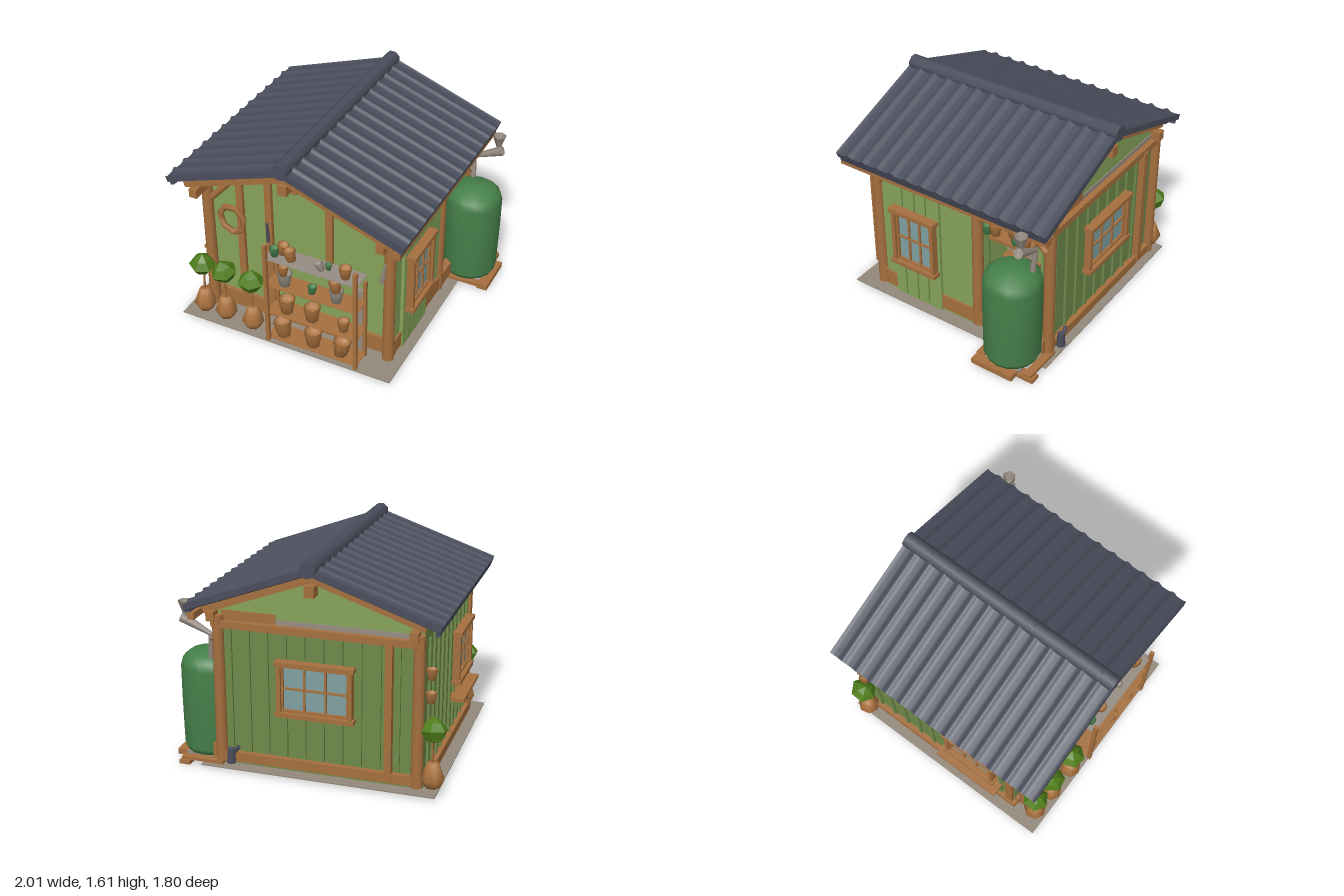
import * as THREE from 'three';

const mat = (name, color, opts = {}) => {
  const m = new THREE.MeshStandardMaterial({ color, ...opts });
  m.name = name;
  return m;
};

export function createModel() {
  const M = {
    wall: mat('wall green', 0x86a35a),
    panel: mat('board green', 0x6e894a),
    wood: mat('timber', 0xa56f3e),
    clay: mat('terracotta', 0xac7440),
    roof: mat('slate blue', 0x4a4e5c),
    tank: mat('tank green', 0x457f49),
    leaf: mat('leaf green', 0x4f7d1a, { flatShading: true }),
    grey: mat('weathered grey', 0x968c82, { side: THREE.DoubleSide }),
    ground: mat('ground', 0x93887a),
    glass: mat('window glass', 0x7fa0a0),
  };
  const root = new THREE.Group();
  root.name = 'gardenShed';

  const add = (name, geo, m, x = 0, y = 0, z = 0, parent = root) => {
    const mesh = new THREE.Mesh(geo, m);
    mesh.name = name;
    mesh.position.set(x, y, z);
    parent.add(mesh);
    return mesh;
  };
  // box from its limits
  const box = (name, m, x0, x1, y0, y1, z0, z1) =>
    add(name, new THREE.BoxGeometry(x1 - x0, y1 - y0, z1 - z0), m, (x0 + x1) / 2, (y0 + y1) / 2, (z0 + z1) / 2);
  // round pole between two points
  const pole = (name, m, a, b, r, r2 = r, sides = 10) => {
    const A = new THREE.Vector3(...a), B = new THREE.Vector3(...b), d = B.clone().sub(A);
    const p = add(name, new THREE.CylinderGeometry(r2, r, d.length(), sides), m);
    p.position.copy(A).add(B).multiplyScalar(0.5);
    p.quaternion.setFromUnitVectors(new THREE.Vector3(0, 1, 0), d.normalize());
    return p;
  };
  const RX = -0.07; // ridge position
  const roofY = (x) => 1.56 - (x < RX ? 0.34 : 0.37) * Math.abs(x - RX);

  // ground sheet
  box('groundSlab', M.ground, -0.96, 0.76, 0.012, 0.02, -0.87, 0.87);

  // gable walls
  const gable = (name, m, z0, depth, low, x0, x1) => {
    const s = new THREE.Shape();
    s.moveTo(x0, low);
    s.lineTo(x1, low);
    s.lineTo(x1, roofY(x1) - 0.08);
    s.lineTo(RX, 1.48);
    s.lineTo(x0, roofY(x0) - 0.08);
    add(name, new THREE.ExtrudeGeometry(s, { depth, bevelEnabled: false }), m, 0, 0, z0);
  };
  gable('frontWall', M.wall, 0.58, 0.04, 0.03, -0.83, 0.67);
  gable('backGable', M.wall, -0.78, 0.03, 1.08, -0.83, 0.64);
  box('backWall', M.panel, -0.83, 0.64, 0.03, 1.1, -0.79, -0.75);
  box('leftWall', M.panel, -0.85, -0.81, 0.03, 1.2, -0.78, 0.62);
  box('rightWall', M.wall, 0.63, 0.67, 0.03, 1.18, -0.22, 0.6);
  box('alcoveSideWall', M.wall, 0.28, 0.66, 0.03, 1.28, -0.23, -0.2);
  box('alcoveBackWall', M.wall, 0.28, 0.31, 0.03, 1.3, -0.78, -0.2);

  // battens on the boarded walls
  for (let i = 0; i < 10; i++) {
    const x = -0.68 + i * 0.135, z = -0.68 + i * 0.13;
    box('backBatten', M.panel, x - 0.012, x + 0.012, 0.14, 1.06, -0.808, -0.788);
    box('leftBatten', M.panel, -0.868, -0.848, 0.14, 1.1, z - 0.012, z + 0.012);
  }
  // board panel on the right wall
  box('sidePanel', M.wall, 0.66, 0.695, 0.04, 1.1, 0.09, 0.51);
  [0.205, 0.305, 0.415].forEach((z) => box('panelJoint', M.panel, 0.69, 0.7, 0.06, 1.09, z - 0.005, z + 0.005));
  box('panelHeader', M.wood, 0.67, 0.71, 1.1, 1.125, 0.12, 0.47);

  // sill beams and top plates
  box('frontSkirting', M.wood, -0.85, 0.69, 0.06, 0.19, 0.61, 0.65);
  box('backSill', M.wood, -0.85, 0.64, 0.06, 0.13, -0.83, -0.77);
  box('backTieBeam', M.wood, -0.85, 0.66, 1.06, 1.11, -0.83, -0.75);
  box('gableTrim', M.wood, 0.2, 0.6, 1.11, 1.18, -0.787, -0.778);
  box('gableTrim', M.grey, -0.78, 0.2, 1.11, 1.145, -0.787, -0.778);
  box('leftSill', M.wood, -0.89, -0.83, 0.06, 0.13, -0.78, 0.64);
  box('rightSkirting', M.wood, 0.66, 0.685, 0.06, 0.18, -0.22, 0.62);
  box('alcoveSill', M.wood, 0.63, 0.69, 0.06, 0.17, -0.8, -0.24);
  box('alcoveHeader', M.wood, 0.62, 0.68, 1.06, 1.12, -0.8, -0.24);
  for (const x of [-0.79, 0.655]) box('wallPlate', M.wood, x - 0.03, x + 0.03, 1.11, 1.18, -0.86, 0.85);
  box('rightEaveBoard', M.wood, 0.76, 0.81, 1.12, 1.17, -0.89, 0.87);
  box('ridgeBeam', M.wood, RX - 0.035, RX + 0.035, 1.35, 1.43, -0.87, 0.85);
  box('kingPost', M.wood, RX - 0.025, RX + 0.025, 1.27, 1.36, 0.62, 0.7);

  // posts, studs and knee braces
  [[-0.79, 0.67], [0.655, 0.67], [0.655, -0.22], [0.62, -0.8], [-0.815, -0.8]].forEach(([x, z]) =>
    pole('cornerPost', M.wood, [x, 0.05, z], [x, 1.15, z], 0.043, 0.04, 12));
  [[-0.54, 0.19, 1.3], [-0.305, 0.19, 1.38], [0.175, 0.62, 1.37]].forEach(([x, y0, y1]) =>
    box('frontStud', M.wood, x - 0.026, x + 0.026, y0, y1, 0.615, 0.65));
  box('backStud', M.wood, -0.64, -0.59, 0.08, 1.08, -0.84, -0.78);
  box('leftStud', M.wood, -0.88, -0.84, 0.1, 1.1, 0.55, 0.61);
  [[[-0.79, 0.98, 0.67], [-0.59, 1.2, 0.67]], [[0.655, 0.98, 0.67], [0.48, 1.19, 0.67]],
    [[0.66, 0.97, 0.66], [0.66, 1.14, 0.47]], [[0.66, 0.97, -0.22], [0.66, 1.12, -0.38]],
    [[0.66, 0.95, -0.79], [0.66, 1.12, -0.63]],
  ].forEach(([a, b]) => pole('kneeBrace', M.wood, a, b, 0.024, 0.024, 8));

  // corrugated roof slopes with soffit boards and barge boards
  const slope = (side, eaveX) => {
    const dx = eaveX - RX, dy = roofY(eaveX) - 1.56, len = Math.hypot(dx, dy);
    const g = new THREE.Group();
    g.name = side + 'RoofSlope';
    g.position.set((RX + eaveX) / 2, 1.56 + dy / 2, 0);
    g.rotation.z = Math.atan(dy / dx);
    const sheet = new THREE.BoxGeometry(len, 0.045, 1.78, 1, 1, 168);
    const p = sheet.attributes.position;
    for (let i = 0; i < p.count; i++) {
      const w = (1 + Math.cos((p.getZ(i) / 0.13) * Math.PI * 2)) / 2;
      p.setY(i, p.getY(i) + 0.018 * w ** 3 - 0.005);
    }
    sheet.computeVertexNormals();
    add('corrugatedSheet', sheet, M.roof, 0, -0.023, -0.01, g);
    add('eaveLip', new THREE.BoxGeometry(0.03, 0.045, 1.74), M.roof, Math.sign(dx) * (len / 2 - 0.015), -0.055, -0.01, g);
    const inward = -Math.sign(dx) * 0.05;
    add('soffit', new THREE.BoxGeometry(len - 0.12, 0.02, 1.7), M.wood, inward, -0.062, -0.01, g);
    for (const z of [0.82, 0.66, -0.81]) add('bargeRafter', new THREE.BoxGeometry(len - 0.1, 0.045, 0.04), M.wood, inward, -0.088, z, g);
    root.add(g);
  };
  slope('left', -0.985);
  slope('right', 0.84);
  pole('ridgeCap', M.roof, [RX, 1.55, -0.905], [RX, 1.55, 0.88], 0.06, 0.06, 8).rotateY(Math.PI / 8);
  [-0.68, -0.46, 0.2, 0.75].forEach((z) => pole('ridgeBand', M.roof, [RX, 1.547, z], [RX, 1.547, z + 0.015], 0.061));

  // windows, built facing +z
  const windowUnit = (name, w, h, cols, x, y, z, turn) => {
    const g = new THREE.Group();
    g.name = name;
    g.position.set(x, y, z);
    g.rotation.y = turn;
    const bar = (n, bw, bh, bd, bx, by, bz) => add(n, new THREE.BoxGeometry(bw, bh, bd), M.wood, bx, by, bz, g);
    add('pane', new THREE.BoxGeometry(w - 0.04, h - 0.04, 0.008), M.glass, 0, 0, 0.012, g);
    for (const s of [-1, 1]) {
      bar('jamb', 0.03, h, 0.055, s * (w / 2 - 0.013), 0, 0.028);
      bar('rail', w + 0.03, 0.032, 0.07, 0, s * (h / 2 - 0.008), 0.032);
      bar('sash', 0.016, h - 0.06, 0.03, s * (w / 2 - 0.034), 0, 0.02);
      bar('sashRail', w - 0.06, 0.018, 0.03, 0, s * (h / 2 - 0.032), 0.02);
    }
    for (let i = 1; i < cols; i++) bar('mullion', 0.014, h - 0.06, 0.02, (i / cols - 0.5) * (w - 0.08), 0, 0.02);
    bar('crossBar', w - 0.06, 0.014, 0.02, 0, 0, 0.02);
    root.add(g);
  };
  windowUnit('rightWindow', 0.37, 0.47, 3, 0.7, 0.61, 0.295, Math.PI / 2);
  windowUnit('backWindow', 0.54, 0.39, 3, -0.095, 0.67, -0.805, Math.PI);
  windowUnit('leftWindow', 0.43, 0.39, 3, -0.865, 0.7, 0.24, -Math.PI / 2);
  box('windowLedge', M.wood, -0.97, -0.85, 0.38, 0.405, -0.03, 0.51);

  // pots
  const pot = (x, y, z, m = M.clay, s = 1, tilt = 0) => {
    const pts = [[0, 0], [0.042, 0], [0.064, 0.115], [0.054, 0.115], [0.045, 0.08], [0, 0.08]];
    const geo = new THREE.LatheGeometry(pts.map(([a, b]) => new THREE.Vector2(a * s, b * s)), 8);
    add('pot', geo, m, x, y, z).rotation.z = tilt;
  };

  // front plant shelf
  for (const x of [-0.215, 0.49]) {
    box('shelfUpright', M.wood, x - 0.014, x + 0.014, 0.04, 0.9, 0.855, 0.885);
    box('shelfUpright', M.wood, x - 0.012, x + 0.012, 0.04, 0.72, 0.7, 0.725);
  }
  [0.065, 0.3, 0.545, 0.78].forEach((y, i) =>
    box('shelfBoard', i === 3 ? M.grey : M.wood, -0.23, 0.5, y - 0.004, y, 0.7, 0.87));
  [-0.12, 0.12, 0.34].forEach((x, i) => pot(x, 0.065, 0.8, M.clay, 1.1, (i - 1) * -0.12));
  [-0.09, 0.115, 0.365].forEach((x, i) => pot(x, 0.3, 0.8, M.clay, i === 2 ? 0.75 : 1.02));
  pot(-0.1, 0.545, 0.8, M.grey, 0.9);
  pot(-0.11, 0.63, 0.8, M.clay, 0.65);
  pot(0.115, 0.545, 0.8, M.tank, 0.55, -0.1);
  pot(0.31, 0.545, 0.8, M.grey, 0.85);
  pot(0.31, 0.63, 0.8, M.clay, 0.75, 0.15);
  pot(-0.175, 0.78, 0.8, M.tank, 0.6);
  pot(-0.14, 0.785, 0.76, M.clay, 0.7, -0.2);
  pot(-0.04, 0.78, 0.8, M.clay, 0.75, 0.2);
  pot(0.2, 0.78, 0.8, M.grey, 0.5, 0.5);
  pot(0.235, 0.78, 0.77, M.tank, 0.4);
  pot(0.38, 0.78, 0.8, M.clay, 0.75);
  box('greyPlank', M.grey, 0.405, 0.46, 0.06, 0.6, 0.66, 0.69);

  // potted shrubs
  const jar = [[0, 0], [0.055, 0], [0.085, 0.06], [0.06, 0.13], [0.04, 0.18], [0, 0.18]].map(([a, b]) => new THREE.Vector2(a, b));
  const leafBall = [[0, -0.085], [0.055, -0.07], [0.1, 0.0], [0.06, 0.055], [0, 0.1]].map(([a, b]) => new THREE.Vector2(a, b));
  [[-0.81, 0.78], [-0.62, 0.79], [-0.385, 0.8], [-0.92, -0.77]].forEach(([x, z], i) => {
    add('shrubJar', new THREE.LatheGeometry(jar, 7), M.clay, x, 0.055, z);
    pole('shrubStem', M.wood, [x, 0.2, z], [x + 0.012, 0.42, z], 0.009, 0.007, 5);
    const crown = add('shrubCrown', new THREE.LatheGeometry(leafBall, 6), M.leaf, x, 0.472, z);
    crown.rotation.set(0.12, i * 0.7, i % 2 ? 0.15 : -0.12);
  });

  // hanging ring, tools and corner pots
  const ring = add('hangingRing', new THREE.TorusGeometry(0.1, 0.024, 5, 7), M.wood, -0.58, 0.89, 0.69);
  ring.rotation.z = 0.3;
  ring.scale.y = 1.1;
  pole('hangingTool', M.roof, [-0.3, 0.77, 0.67], [-0.305, 0.93, 0.67], 0.014, 0.01, 5);
  pole('hangingTool', M.grey, [0.62, 0.77, 0.725], [0.645, 0.93, 0.725], 0.02, 0.008, 5);
  pot(-0.89, 0.66, -0.75, M.clay, 0.65);
  pot(-0.89, 0.83, -0.75, M.clay, 0.65);

  // alcove door, rails and shelf
  box('alcoveDoor', M.grey, 0.4, 0.42, 0.06, 0.95, -0.56, -0.32);
  [-0.4, -0.48].forEach((z) => box('doorJoint', M.wood, 0.415, 0.424, 0.08, 0.94, z - 0.004, z + 0.004));
  [0.4, 0.59].forEach((y) => box('alcoveRail', M.wood, 0.42, 0.5, y - 0.025, y + 0.025, -0.6, -0.32));
  box('alcoveBatten', M.panel, 0.6, 0.62, 0.06, 0.87, -0.29, -0.24);
  box('alcoveTopShelf', M.wood, 0.45, 0.66, 0.86, 0.885, -0.64, -0.32);
  pot(0.62, 0.87, -0.28, M.tank, 0.6);
  pot(0.62, 0.885, -0.35, M.clay, 0.75);
  pot(0.62, 0.93, -0.5, M.clay, 0.75);
  pot(0.63, 0.86, -0.53, M.tank, 0.6);
  pot(0.62, 0.885, -0.6, M.clay, 0.75);

  // water tank on pallet boards
  const tank = [[0, 0], [0.19, 0], [0.208, 0.04], [0.214, 0.4], [0.214, 0.64], [0.197, 0.7], [0.15, 0.74], [0.06, 0.765], [0, 0.77]];
  add('waterTank', new THREE.LatheGeometry(tank.map(([a, b]) => new THREE.Vector2(a, b)), 16), M.tank, 0.775, 0.055, -0.6);
  for (let i = 0; i < 5; i++) box('palletBoard', i % 2 ? M.grey : M.wood, 0.6, 0.92, 0.03, 0.052, -0.85 + i * 0.1, -0.79 + i * 0.1);
  box('palletRunner', M.wood, 0.92, 1.0, 0.008, 0.05, -0.74, -0.4);
  box('palletRunner', M.wood, 0.85, 0.93, 0, 0.03, -0.87, -0.6);

  // rain funnel and tapered downpipe
  add('rainFunnel', new THREE.CylinderGeometry(0.052, 0.016, 0.1, 6, 1, true), M.grey, 0.89, 1.155, -0.74);
  pole('funnelNeck', M.grey, [0.89, 1.12, -0.74], [0.905, 1.06, -0.74], 0.016, 0.034, 7);
  pole('crossPipe', M.grey, [0.92, 1.08, -0.74], [0.7, 0.975, -0.74], 0.038, 0.016, 7);
  pole('downpipe', M.grey, [0.705, 0.985, -0.74], [0.715, 0.78, -0.72], 0.016, 0.022, 7);

  // watering can by the back corner
  pole('wateringCan', M.roof, [0.53, 0.06, -0.85], [0.53, 0.17, -0.85], 0.035, 0.025, 8);
  pole('canSpout', M.roof, [0.53, 0.1, -0.85], [0.47, 0.19, -0.85], 0.009, 0.018, 6);
  return root;
}
